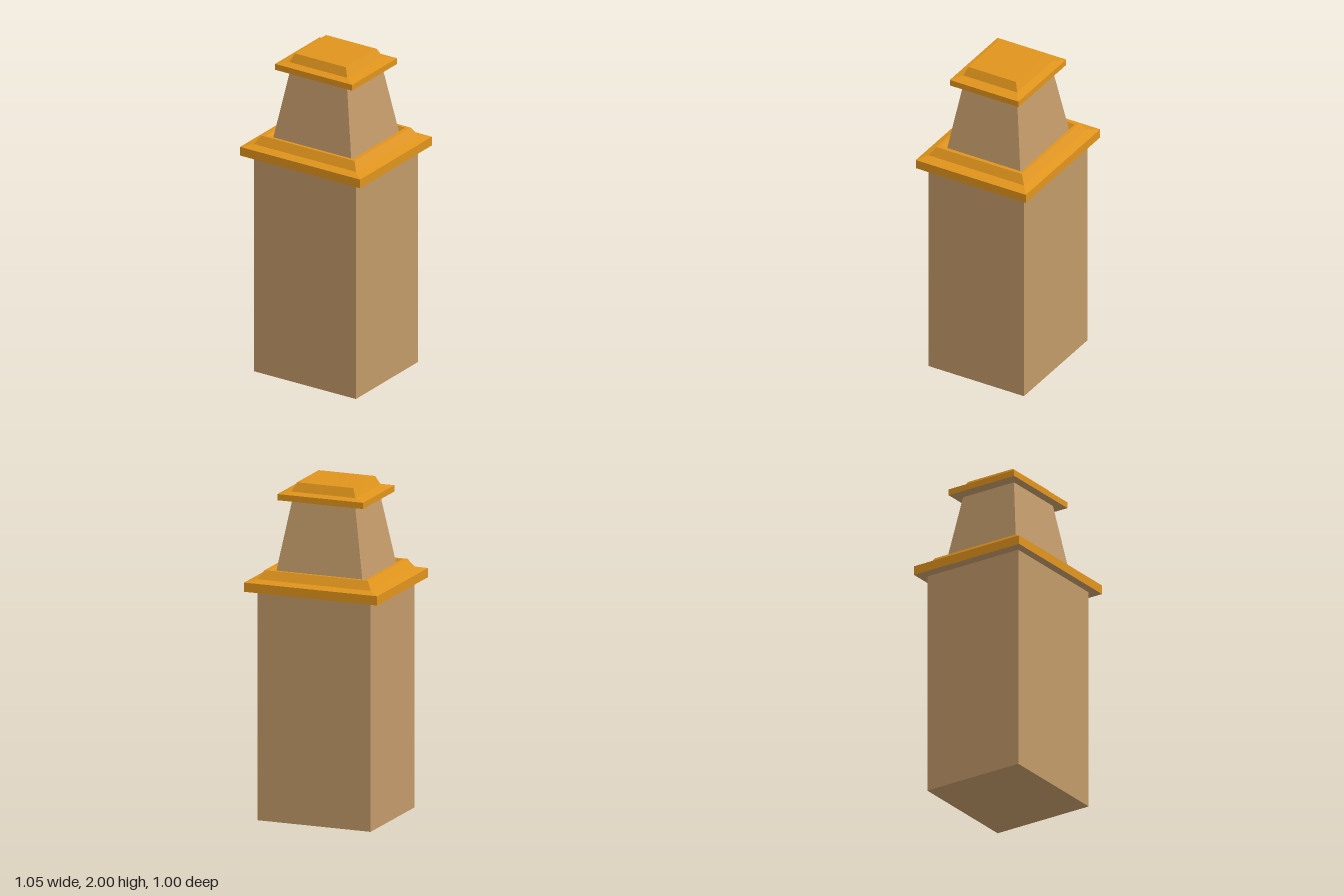
import * as THREE from 'three';

const stone = new THREE.MeshStandardMaterial({ color: 0xc29a69, flatShading: true });
const trim = new THREE.MeshStandardMaterial({ color: 0xe0941c, flatShading: true });

// Skin a stack of rectangles [halfWidth, y, halfDepth], listed from bottom to top
function loft(name, rings, material) {
  const pos = [];
  const corner = ([a, y, b], i) => {
    const k = i % 4;
    return [k === 1 || k === 2 ? a : -a, y, k < 2 ? b : -b];
  };
  for (let r = 0; r < rings.length - 1; r++) {
    for (let i = 0; i < 4; i++) {
      const p = corner(rings[r], i), q = corner(rings[r], i + 1);
      const s = corner(rings[r + 1], i + 1), t = corner(rings[r + 1], i);
      pos.push(...p, ...q, ...s, ...p, ...s, ...t);
    }
  }
  const geo = new THREE.BufferGeometry();
  geo.setAttribute('position', new THREE.Float32BufferAttribute(pos, 3));
  geo.computeVertexNormals();
  const mesh = new THREE.Mesh(geo, material);
  mesh.name = name;
  return mesh;
}

export function createModel() {
  const model = new THREE.Group();
  model.name = 'chimneyTower';
  const tower = new THREE.Group();
  tower.name = 'turnedTower';
  tower.rotation.y = THREE.MathUtils.degToRad(-21.4);
  model.add(tower);

  // Tall base with the flat underside of the ledge
  tower.add(loft('base', [
    [0, 0, 0], [0.357, 0, 0.322], [0.357, 1.37, 0.322], [0.42, 1.37, 0.372],
  ], stone));

  // Ledge: slab, raised rim, then a dip towards the upper shaft
  tower.add(loft('ledge', [
    [0.42, 1.37, 0.372], [0.42, 1.425, 0.372], [0.357, 1.44, 0.322],
    [0.326, 1.49, 0.29], [0.302, 1.49, 0.272], [0.276, 1.45, 0.249],
  ], trim));

  // Tapered upper shaft with the flat underside of the cap
  tower.add(loft('upperShaft', [
    [0.277, 1.45, 0.25], [0.198, 1.9, 0.18], [0.27, 1.9, 0.232],
  ], stone));

  // Cap: slab with a small raised block
  tower.add(loft('cap', [
    [0.27, 1.9, 0.232], [0.27, 1.937, 0.232], [0.202, 1.948, 0.184],
    [0.178, 2, 0.16], [0, 2, 0],
  ], trim));

  return model;
}
